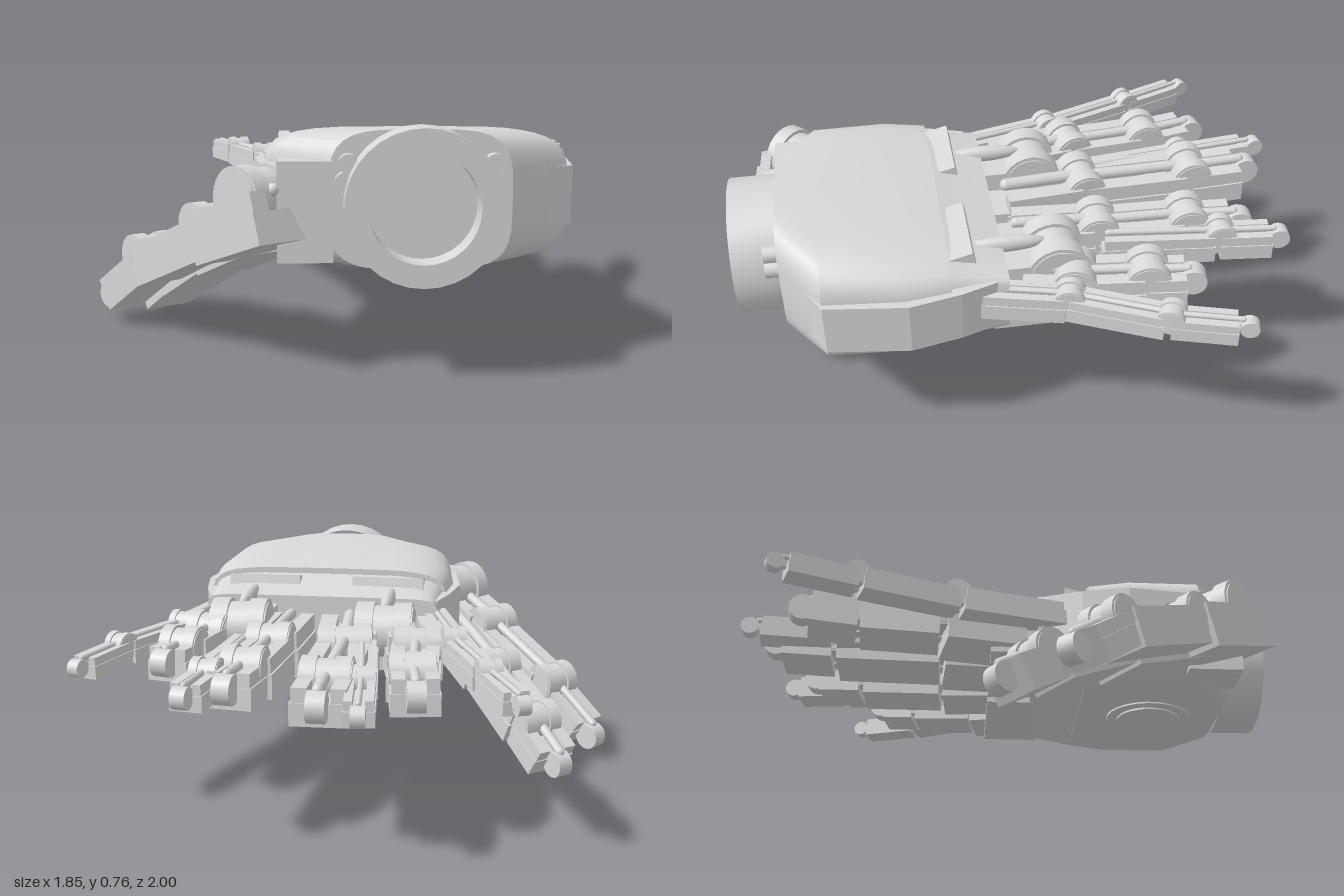
import * as THREE from 'three';
import { toCreasedNormals } from 'three/addons/utils/BufferGeometryUtils.js';

const metal = new THREE.MeshStandardMaterial({ color: 0xd8d8d8 });
metal.name = 'lightGreyMetal';
const CX = 0.18; // centre line of palm and wrist

function add(parent, name, geo, x = 0, y = 0, z = 0) {
  const m = new THREE.Mesh(geo, metal);
  m.name = name;
  m.position.set(x, y, z);
  parent.add(m);
  return m;
}

// Closed loft along z; each section is [z, halfWidth, bottom, top, roundness]
function loft(sections, n = 32) {
  const pos = [], idx = [];
  for (const [z, w, b, t, e] of sections) {
    for (let j = 0; j < n; j++) {
      const a = (j / n) * Math.PI * 2, c = Math.cos(a), s = Math.sin(a);
      pos.push(CX + w * Math.sign(c) * Math.abs(c) ** e,
        (b + t) / 2 + ((t - b) / 2) * Math.sign(s) * Math.abs(s) ** e, z);
    }
  }
  const last = sections.length - 1;
  for (let i = 0; i < last; i++) for (let j = 0; j < n; j++) {
    const a = i * n + j, b = i * n + (j + 1) % n;
    idx.push(a, a + n, b, b, a + n, b + n);
  }
  for (let j = 1; j < n - 1; j++) {
    idx.push(0, j, j + 1, last * n, last * n + j + 1, last * n + j);
  }
  const g = new THREE.BufferGeometry();
  g.setAttribute('position', new THREE.Float32BufferAttribute(pos, 3));
  g.setIndex(idx);
  return toCreasedNormals(g, 0.5);
}

// Group whose -z axis runs from p to q, with y kept upward
function frame(p, q) {
  const dir = q.clone().sub(p).normalize();
  const side = dir.clone().cross(new THREE.Vector3(0, 1, 0)).normalize();
  const up = side.clone().cross(dir);
  const g = new THREE.Group();
  g.setRotationFromMatrix(new THREE.Matrix4().makeBasis(side, up, dir.negate()));
  g.position.copy(p);
  return g;
}

// Hinge lying across a finger: a hub with a wider collar at each end
function hinge(parent, r, len, y, z) {
  const pin = (name, radius, l, x) => {
    add(parent, name, new THREE.CylinderGeometry(radius, radius, l, 24), x, y, z).rotation.z = Math.PI / 2;
  };
  pin('hingeHub', r * 0.88, len * 0.92, 0);
  for (const s of [-1, 1]) pin('hingeCollar', r, len * 0.28, s * len * 0.3);
}

// Jointed finger; points are [x, y, z], w and h shrink towards the tip
function finger(parent, name, points, w, h, shrink = 0.9) {
  const root = new THREE.Group();
  root.name = name;
  const p = points.map(a => new THREE.Vector3(...a));
  for (let i = 0; i < p.length - 1; i++) {
    const len = p[i].distanceTo(p[i + 1]), g = frame(p[i], p[i + 1]);
    const tip = i === p.length - 2, L = len * (tip ? 0.86 : 0.95);
    g.name = 'phalanx';
    add(g, 'underPlate', new THREE.BoxGeometry(w, h * 0.5, L), 0, -h * 0.25, -L / 2);
    for (const s of [-1, 1]) {
      add(g, 'sideRail', new THREE.BoxGeometry(w * 0.27, h * 0.34, L * 0.96), s * w * 0.33, h * 0.15, -L / 2);
    }
    const rod = add(g, 'tendonRod', new THREE.CapsuleGeometry(w * 0.1, len * 0.85, 4, 10), 0, h * 0.32, -len * 0.48);
    rod.rotation.x = Math.PI / 2;
    if (tip) {
      const r = h * 0.34, l = Math.min(w * 0.45, 0.06);
      add(g, 'tipKnob', new THREE.CylinderGeometry(r, r, l, 20), 0, 0, -len).rotation.z = Math.PI / 2;
      add(g, 'tipNeck', new THREE.BoxGeometry(w * 0.22, h * 0.3, len * 0.18), 0, 0, -len * 0.9);
    } else {
      hinge(g, Math.min(h * 0.46, 0.075), w * 0.9, h * 0.16, -len);
    }
    root.add(g);
    w *= shrink;
    h *= shrink * 0.96;
  }
  parent.add(root);
}

export function createModel() {
  const hand = new THREE.Group();
  hand.name = 'mechanicalHand';

  // Palm shell, and the lower knuckle deck in front of it
  add(hand, 'palmShell', loft([
    [0.845, 0.28, 0.325, 0.755, 0.5], [0.71, 0.475, 0.33, 0.75, 0.45],
    [0.45, 0.5, 0.34, 0.735, 0.45], [0.3, 0.48, 0.36, 0.715, 0.42]]));
  add(hand, 'knuckleDeck', loft([
    [0.31, 0.47, 0.36, 0.695, 0.38], [0.2, 0.455, 0.39, 0.665, 0.3], [0.11, 0.45, 0.415, 0.645, 0.2]]));
  for (const x of [-0.07, 0.42]) {
    add(hand, 'knuckleCover', new THREE.BoxGeometry(0.28, 0.06, 0.1), x, 0.66, 0.26).rotation.x = 0.26;
  }

  // Slim armour panels on both sides
  const outline = [[0.3, 0.77], [0.38, 0.77], [0.49, 0.71], [0.525, 0.44], [0.49, 0.27], [0.45, 0.15], [0.3, 0.15]];
  for (const s of [-1, 1]) {
    const shape = new THREE.Shape(outline.map(([x, z]) => new THREE.Vector2(CX + s * x, z)));
    const geo = new THREE.ExtrudeGeometry(shape, { depth: 0.185, bevelEnabled: false });
    add(hand, 'sidePanel', geo, 0, 0.63, 0).rotation.x = Math.PI / 2;
  }

  // Wrist socket with recessed floor
  const ring = new THREE.LatheGeometry([[0.235, 0.84], [0.235, 1], [0.165, 1], [0.165, 0.9], [0, 0.9]]
    .map(a => new THREE.Vector2(...a)), 32);
  add(hand, 'wristSocket', toCreasedNormals(ring, 0.6), CX, 0.535, 0).rotation.x = Math.PI / 2;
  for (const [x, y] of [[0.41, 0.6], [0.4, 0.655], [-0.05, 0.6], [-0.04, 0.655]]) {
    add(hand, 'wristBolt', new THREE.CylinderGeometry(0.03, 0.03, 0.1, 14), x, y, 0.84).rotation.x = Math.PI / 2;
  }

  // Round plate under the palm
  add(hand, 'palmDiscRim', new THREE.CylinderGeometry(0.165, 0.165, 0.03, 32), CX, 0.345, 0.58).rotation.x = 0.04;
  add(hand, 'palmDisc', new THREE.CylinderGeometry(0.125, 0.125, 0.03, 32), CX, 0.338, 0.58).rotation.x = 0.04;

  // Knuckle bases with big hinge and tapered tendon
  for (const [x, hx] of [[-0.04, -0.09], [0.41, 0.45]]) {
    add(hand, 'knuckleBase', new THREE.BoxGeometry(0.4, 0.13, 0.22), x, 0.475, 0.05);
    add(hand, 'knuckleBridge', new THREE.BoxGeometry(0.2, 0.1, 0.2), hx, 0.56, 0.04);
    hinge(hand.children.at(-1), 0.108, 0.23, 0.005, -0.11);
    const t = add(hand, 'taperedTendon', new THREE.SphereGeometry(1, 14, 10), hx + 0.005, 0.645, 0.1);
    t.scale.set(0.026, 0.03, 0.14);
  }

  // Broad fingers
  finger(hand, 'broadFinger', [[-0.16, 0.53, 0.05], [-0.22, 0.53, -0.25], [-0.235, 0.54, -0.55], [-0.262, 0.55, -0.75]], 0.2, 0.2);
  finger(hand, 'broadFinger', [[0.055, 0.53, 0.05], [0.03, 0.53, -0.25], [0.03, 0.54, -0.66], [0.028, 0.55, -0.88]], 0.23, 0.2);
  finger(hand, 'broadFinger', [[0.28, 0.53, 0.05], [0.3, 0.53, -0.25], [0.32, 0.54, -0.57], [0.342, 0.55, -0.755]], 0.19, 0.2);
  finger(hand, 'broadFinger', [[0.52, 0.53, 0.05], [0.555, 0.53, -0.12], [0.59, 0.54, -0.36], [0.618, 0.55, -0.505]], 0.18, 0.19);

  // Slender fingers
  finger(hand, 'slenderFinger', [[-0.25, 0.555, 0.2], [-0.35, 0.555, -0.19], [-0.48, 0.555, -0.54], [-0.585, 0.555, -0.805]], 0.1, 0.11, 0.95);
  finger(hand, 'slenderFinger', [[-0.03, 0.55, -0.25], [-0.08, 0.55, -0.66], [-0.108, 0.555, -0.965]], 0.105, 0.11, 0.95);
  finger(hand, 'slenderFinger', [[0.38, 0.55, -0.25], [0.425, 0.55, -0.66], [0.452, 0.555, -0.865]], 0.115, 0.12, 0.95);
  finger(hand, 'slenderFinger', [[0.6, 0.555, 0.2], [0.67, 0.555, -0.08], [0.81, 0.555, -0.38], [0.88, 0.555, -0.615]], 0.1, 0.11, 0.95);

  // Thumb mount with its large hinge
  add(hand, 'thumbMount', new THREE.BoxGeometry(0.17, 0.31, 0.2), -0.17, 0.505, 0.76);
  const hub = new THREE.Group();
  hub.name = 'thumbHinge';
  hub.position.set(-0.32, 0.54, 0.77);
  hub.rotation.y = Math.PI / 4;
  hinge(hub, 0.105, 0.2, 0, 0);
  hand.add(hub);

  // The two thumb branches
  finger(hand, 'outerThumb', [[-0.24, 0.52, 0.88], [-0.47, 0.4, 0.6], [-0.72, 0.25, 0.31], [-0.885, 0.1, 0.165]], 0.21, 0.2, 0.88);
  finger(hand, 'innerThumb', [[-0.3, 0.43, 0.62], [-0.49, 0.3, 0.33], [-0.65, 0.16, 0.09], [-0.75, 0.06, -0.045]], 0.21, 0.185, 0.93);

  return hand;
}
